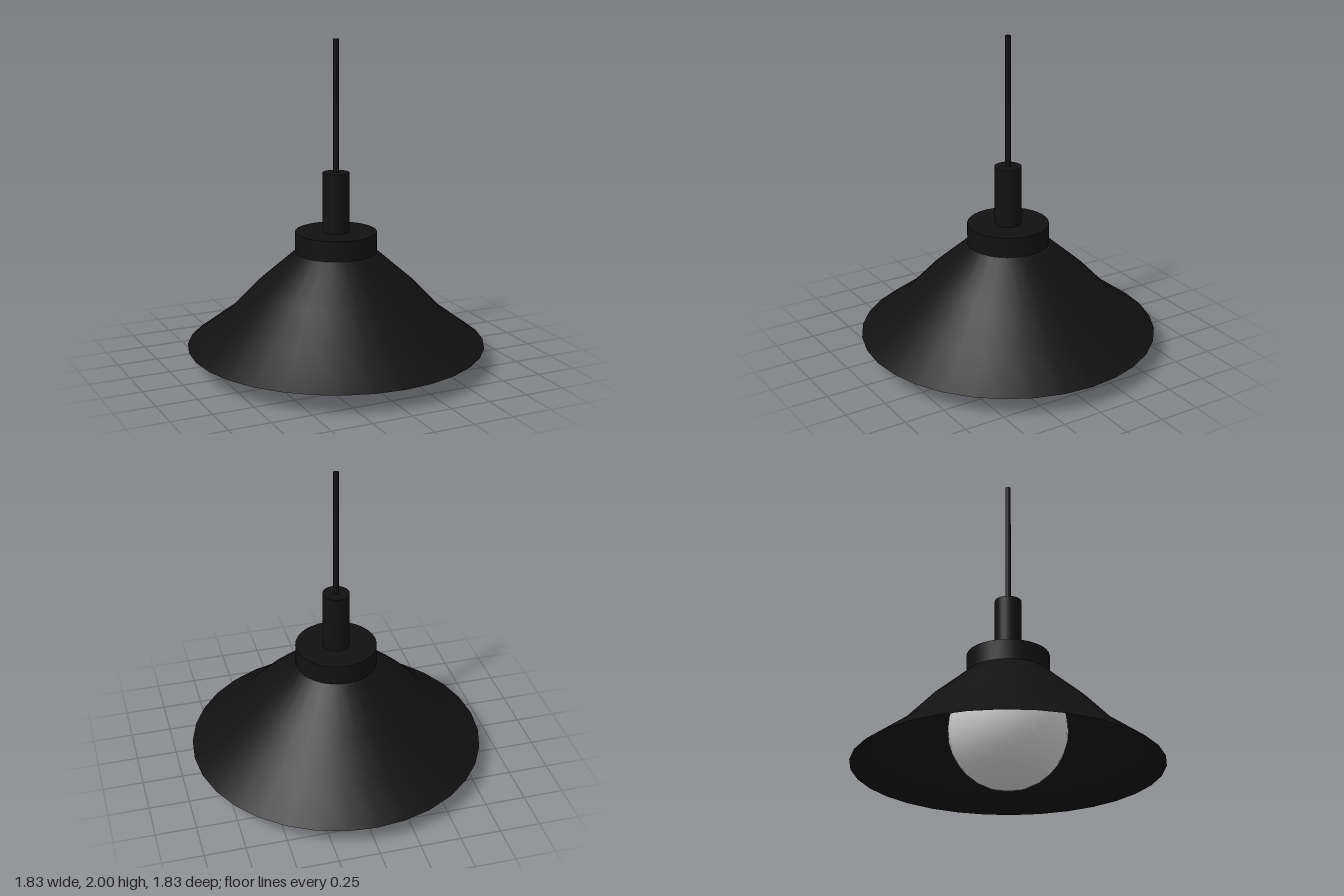
import * as THREE from 'three';

const SIDES = 32;

export function createModel() {
  const group = new THREE.Group();
  const black = new THREE.MeshStandardMaterial({ color: 0x111111 });
  const blackThin = new THREE.MeshStandardMaterial({ color: 0x111111, side: THREE.DoubleSide });
  const grey = new THREE.MeshStandardMaterial({ color: 0xcccccc });

  const add = (name, geometry, material, y = 0) => {
    const mesh = new THREE.Mesh(geometry, material);
    mesh.name = name;
    mesh.position.y = y;
    group.add(mesh);
  };

  // Upright closed cylinder between two heights
  const rod = (name, radius, bottom, top, sides) =>
    add(name, new THREE.CylinderGeometry(radius, radius, top - bottom, sides), black, (bottom + top) / 2);

  rod('cord', 0.017, 1.19, 2, 16);
  rod('stem', 0.082, 0.83, 1.195, SIDES);
  rod('collar', 0.25, 0.705, 0.83, SIDES);

  // Thin flared shade, open underneath
  const profile = [[0.915, 0.125], [0.665, 0.31], [0.49, 0.495], [0.25, 0.705]]
    .map(([r, y]) => new THREE.Vector2(r, y));
  add('shade', new THREE.LatheGeometry(profile, SIDES), blackThin);

  // Round bulb hanging just below the rim
  add('bulb', new THREE.SphereGeometry(0.354, SIDES, 16), grey, 0.354);

  return group;
}
